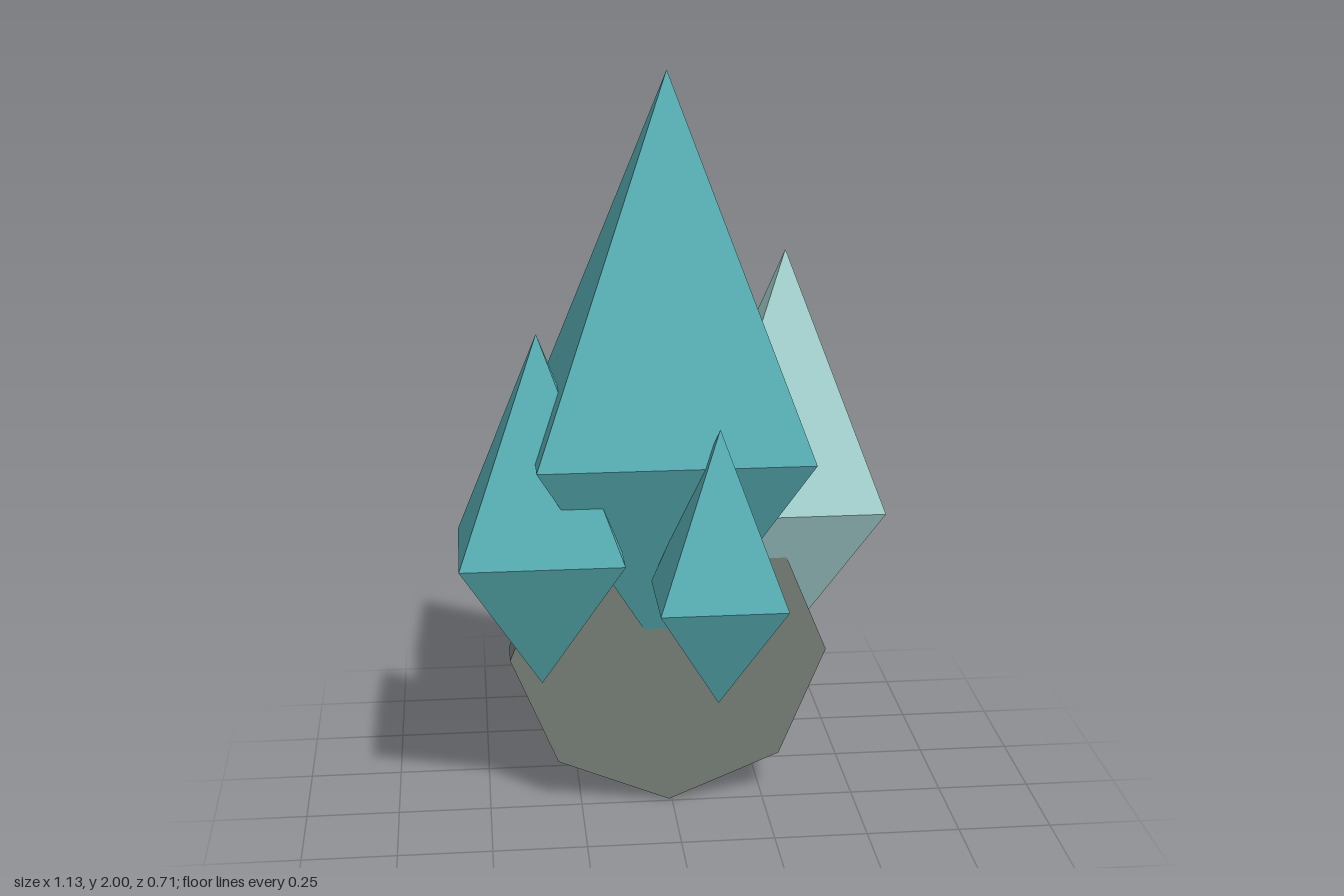
import * as THREE from 'three';

const teal = new THREE.MeshStandardMaterial({ name: 'teal crystal', color: 0x5ab3b9 });
const pale = new THREE.MeshStandardMaterial({ name: 'pale crystal', color: 0xa9d7d5 });
const stone = new THREE.MeshStandardMaterial({ name: 'grey stone', color: 0x757d75 });

// Unshared vertices give crisp facets
function faceted(geometry) {
  const g = geometry.toNonIndexed();
  g.computeVertexNormals();
  return g;
}

// Four-sided pyramid with a 1 x 1 base at y = 0 and its apex at y = 1
function pyramid() {
  return new THREE.ConeGeometry(Math.SQRT1_2, 1, 4, 1, true).rotateY(Math.PI / 4).translate(0, 0.5, 0);
}

// Double pyramid: tall tip above the widest level, shorter point below
function crystal(name, material, { x, z, width, depth, top, middle, bottom }) {
  const group = new THREE.Group();
  group.name = name;
  const upper = pyramid().scale(width, top - middle, depth);
  const lower = pyramid().rotateX(Math.PI).scale(width, middle - bottom, depth);
  [['upper', upper], ['lower', lower]].forEach(([part, geometry]) => {
    const mesh = new THREE.Mesh(faceted(geometry), material);
    mesh.name = `${name} ${part}`;
    group.add(mesh);
  });
  group.position.set(x, middle, z);
  return group;
}

export function createModel() {
  const model = new THREE.Group();
  model.name = 'crystalCluster';

  // Upright octagonal stone disc, standing on one corner
  const disc = new THREE.Mesh(
    faceted(new THREE.CylinderGeometry(0.43, 0.43, 0.1, 8).rotateX(Math.PI / 2)), stone);
  disc.name = 'stoneDisc';
  disc.position.set(-0.008, 0.432, -0.06);
  model.add(disc);

  // Crystals growing out of the disc
  model.add(
    crystal('mainCrystal', teal,
      { x: -0.008, z: -0.065, width: 0.714, depth: 0.58, top: 2, middle: 1.032, bottom: 0.387 }),
    crystal('rightCrystal', teal,
      { x: -0.354, z: 0.044, width: 0.426, depth: 0.348, top: 1.35, middle: 0.773, bottom: 0.387 }),
    crystal('leftCrystal', pale,
      { x: 0.315, z: -0.152, width: 0.5, depth: 0.406, top: 1.515, middle: 0.836, bottom: 0.387 }),
    crystal('frontCrystal', teal,
      { x: 0.1, z: 0.22, width: 0.328, depth: 0.266, top: 1.135, middle: 0.685, bottom: 0.387 }),
  );
  return model;
}
